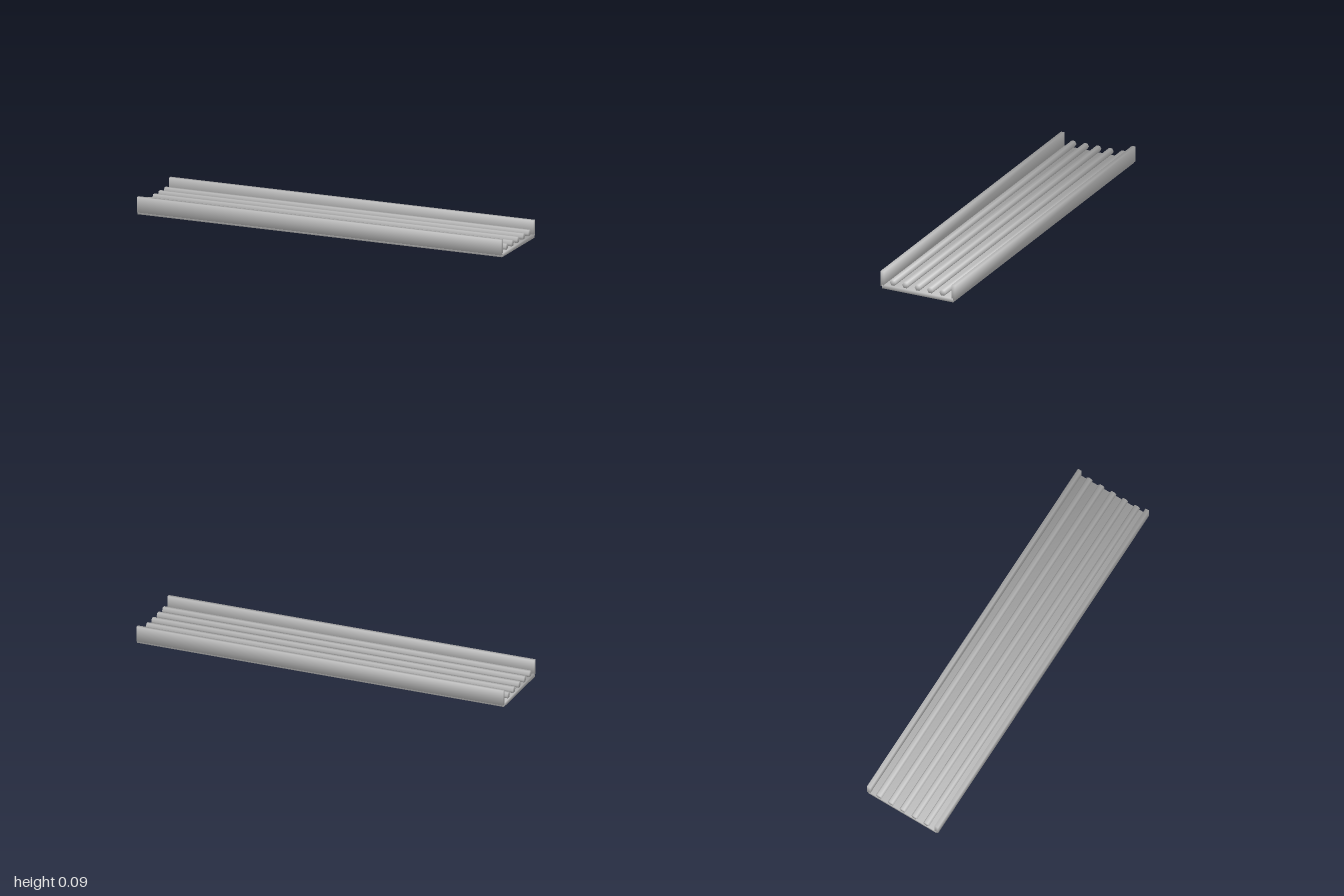
import * as THREE from 'three';

const metal = new THREE.MeshStandardMaterial({ color: 0xc0c0c0 });
metal.name = 'light grey metal';

// Soft shading: each vertex normal is replaced by a rule of its position
function softenNormals(geometry, rule) {
  const p = geometry.attributes.position;
  const v = new THREE.Vector3();
  for (let i = 0; i < p.count; i++) {
    rule(v.fromBufferAttribute(p, i)).normalize();
    geometry.attributes.normal.setXYZ(i, v.x, v.y, v.z);
  }
  return geometry;
}

// Slab whose corner normals blend the three adjoining faces
function slab(name, height, depth, y, z) {
  const geometry = softenNormals(new THREE.BoxGeometry(2, height, depth), (v) =>
    v.set(Math.sign(v.x), Math.sign(v.y), Math.sign(v.z)));
  const mesh = new THREE.Mesh(geometry, metal);
  mesh.name = name;
  mesh.position.set(0, y, z);
  return mesh;
}

// Six-sided rod along x, with normals blended over its ends
function rod(name, radius, y, z) {
  const geometry = new THREE.CylinderGeometry(radius, radius, 2, 6).rotateZ(Math.PI / 2);
  softenNormals(geometry, (v) =>
    v.set(Math.sign(v.x) * 0.61, (v.y / radius) * 0.79, (v.z / radius) * 0.79));
  const mesh = new THREE.Mesh(geometry, metal);
  mesh.name = name;
  mesh.position.set(0, y, z);
  return mesh;
}

export function createModel() {
  const model = new THREE.Group();
  model.name = 'channelTray';

  // Floor plate
  model.add(slab('basePlate', 0.02, 0.4, 0.01, 0));

  // Upright side walls
  model.add(slab('frontWall', 0.08, 0.02, 0.052, 0.2));
  model.add(slab('backWall', 0.08, 0.02, 0.052, -0.2));

  // Five parallel rods above the floor
  for (let i = -2; i <= 2; i++) {
    model.add(rod(`rod${i + 3}`, 0.0173, 0.041, i * 0.07));
  }
  return model;
}
